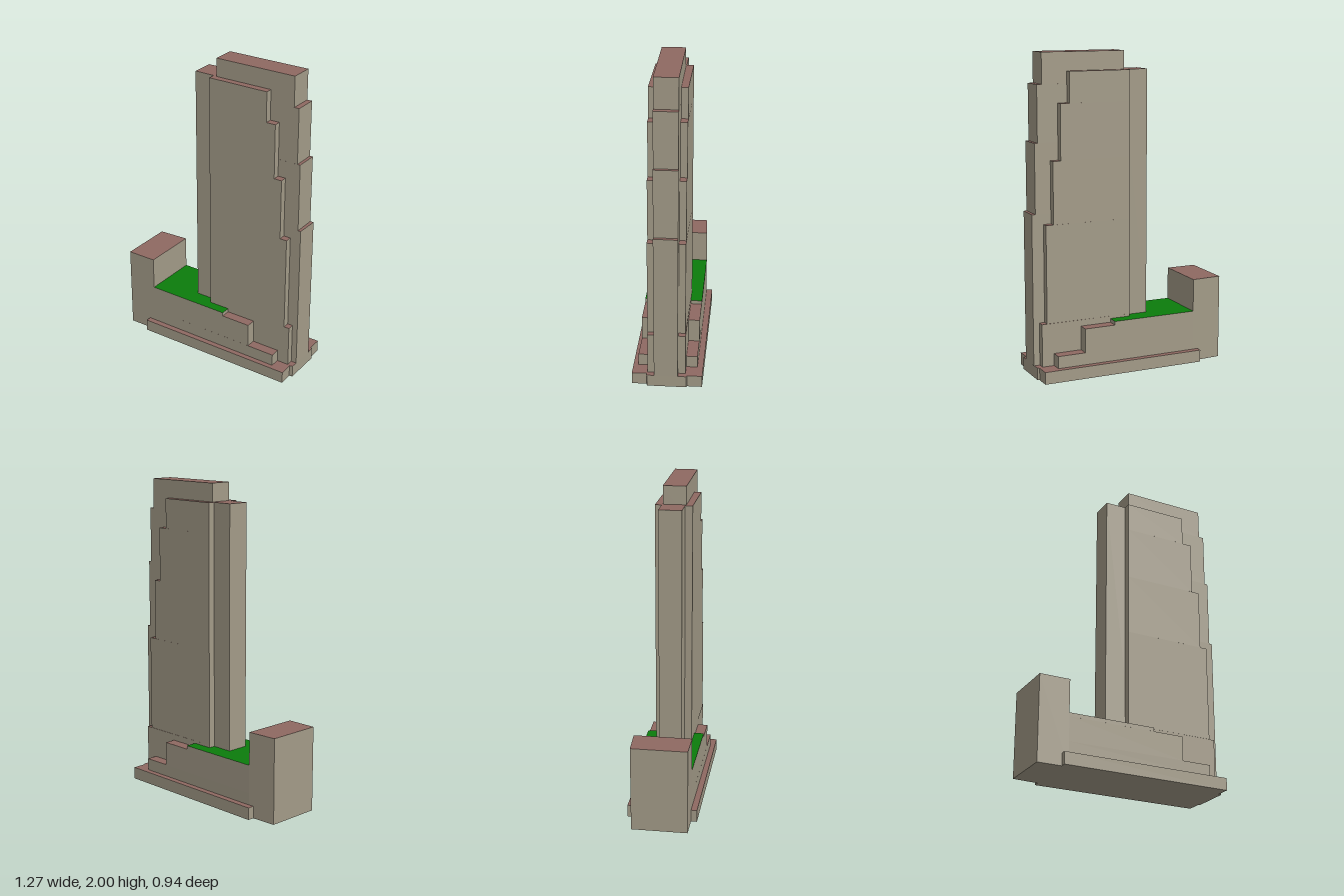
import * as THREE from 'three';

const wall = new THREE.MeshStandardMaterial({ name: 'stone wall', color: 0xa39b88 });
const roof = new THREE.MeshStandardMaterial({ name: 'clay roof', color: 0x8f6962 });
const lawn = new THREE.MeshStandardMaterial({ name: 'roof garden green', color: 0x0c7c0c });

// Upright prism over a footprint of [x, z] corners; only its top cap takes the top material.
function prism(name, corners, y0, y1, top = roof) {
  const shape = new THREE.Shape(corners.map(([x, z]) => new THREE.Vector2(x, -z)));
  const geometry = new THREE.ExtrudeGeometry(shape, { depth: y1 - y0, bevelEnabled: false });
  const [caps, sides] = geometry.groups;
  const half = caps.count / 2;
  geometry.clearGroups();
  geometry.addGroup(0, half, 0);
  geometry.addGroup(half, half, 1);
  geometry.addGroup(sides.start, sides.count, 0);
  geometry.rotateX(-Math.PI / 2);
  geometry.translate(0, y0, 0);
  const mesh = new THREE.Mesh(geometry, [wall, top]);
  mesh.name = name;
  return mesh;
}

// Stack of prisms sharing one end (back and front corner) and stepping in at the other.
// Each tier: [top height, back corner, front corner, top material]
function steppedStack(name, y0, endBack, endFront, tiers) {
  const group = new THREE.Group();
  group.name = name;
  let y = y0;
  tiers.forEach(([top, back, front, material], i) => {
    group.add(prism(`${name}Tier${i + 1}`, [endBack, back, front, endFront], y, top, material));
    y = top;
  });
  return group;
}

export function createModel() {
  const model = new THREE.Group();
  model.name = 'steppedTower';

  // Low base with a shallow projection under the tower end
  model.add(prism('base', [
    [-0.301, -0.436], [0.635, 0.085], [0.591, 0.167], [0.598, 0.178],
    [0.482, 0.392], [0.462, 0.385], [0.421, 0.467], [-0.522, -0.058],
  ], 0, 0.077));

  // Block at the far end
  model.add(prism('endBlock', [
    [-0.467, -0.47], [-0.29, -0.385], [-0.467, -0.07], [-0.637, -0.165],
  ], 0, 0.54));

  // Terraced podium carrying the roof garden
  model.add(steppedStack('podium', 0.077, [-0.29, -0.385], [-0.467, -0.07], [
    [0.154, [0.53, 0.068], [0.352, 0.392]],
    [0.307, [0.372, -0.02], [0.19, 0.3]],
    [0.331, [0.196, -0.119], [0.019, 0.204], lawn],
  ]));

  // Narrow wing on the garden side of the tower
  model.add(prism('towerWing', [
    [-0.097, -0.15], [0.05, -0.067], [-0.02, 0.059], [-0.167, -0.024],
  ], 0.331, 1.885));

  // Broad slab with stepped shoulders
  model.add(steppedStack('shoulders', 0.077, [0.044, -0.119], [-0.073, 0.082], [
    [0.347, [0.564, 0.166], [0.451, 0.373]],
    [0.962, [0.532, 0.152], [0.42, 0.358]],
    [1.35, [0.488, 0.129], [0.38, 0.336]],
    [1.695, [0.444, 0.104], [0.335, 0.311]],
    [1.885, [0.39, 0.075], [0.281, 0.281]],
  ]));

  // Slim core rising through the slab
  model.add(steppedStack('core', 0.077, [0.037, -0.07], [-0.031, 0.058], [
    [1.027, [0.577, 0.225], [0.503, 0.353]],
    [1.46, [0.557, 0.214], [0.487, 0.344]],
    [1.81, [0.54, 0.205], [0.47, 0.334]],
    [2, [0.512, 0.19], [0.441, 0.318]],
  ]));

  return model;
}
